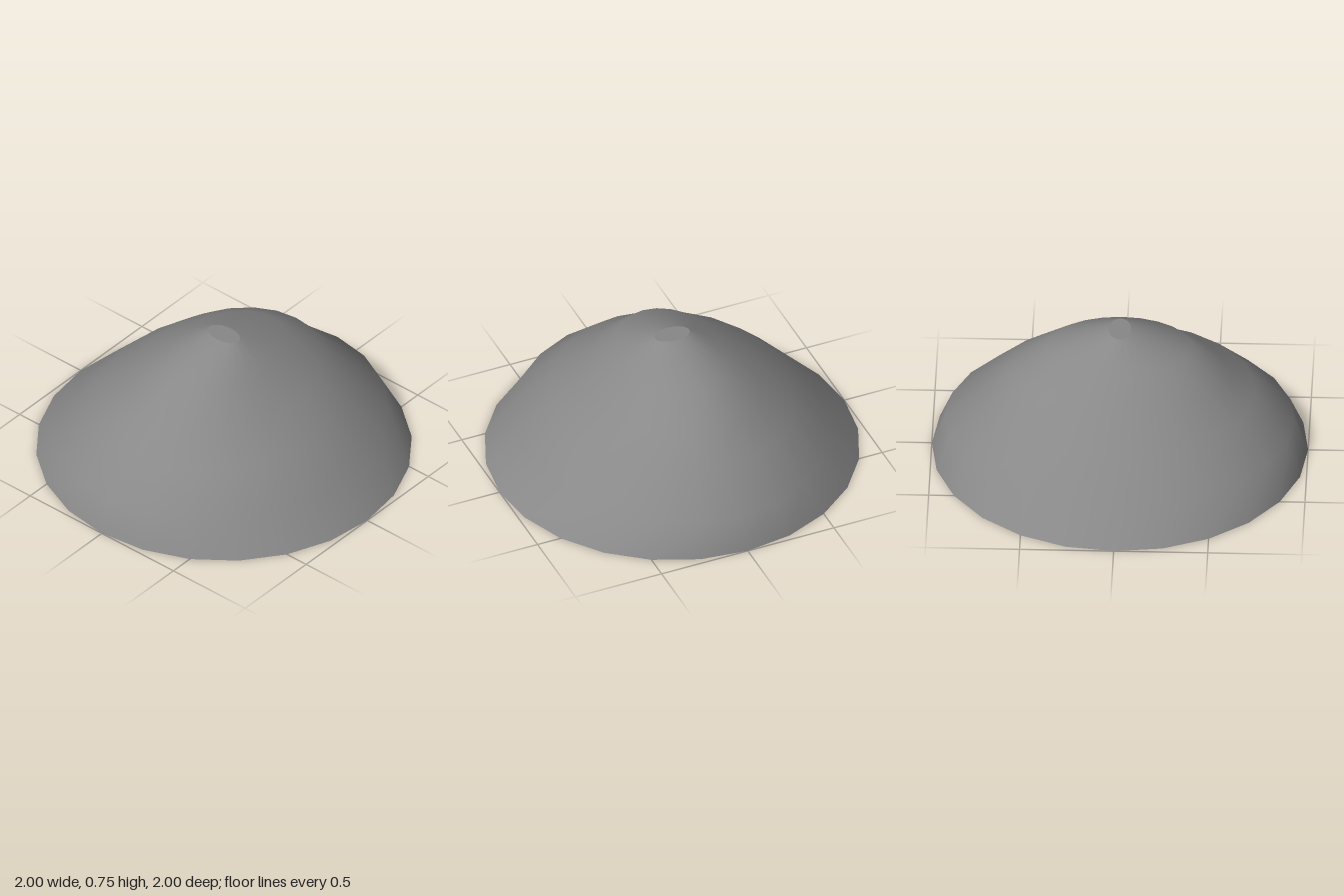
import * as THREE from 'three';

const SIDES = 24;

// Cross-sections from foot to summit: half-width x, half-depth z, height, tilt
const RINGS = [
  [1.0, 1.0, 0, 0],
  [0.93, 0.82, 0.18, 0],
  [0.72, 0.64, 0.365, 0],
  [0.58, 0.46, 0.49, 0.02],
  [0.385, 0.28, 0.64, 0],
  [0.06, 0.1, 0.75, 0],
];

// The tilt raises the right rear quarter of a ring and lowers the left front one
function ringPoint([rx, rz, y, tilt], j) {
  const a = (j / SIDES) * Math.PI * 2;
  const c = Math.cos(a), s = Math.sin(a);
  const lift = (c - s) / (Math.abs(c) + Math.abs(s));
  return [rx * c + tilt / 2, y + tilt * lift, rz * s];
}

function buildGeometry(positions, index) {
  const geometry = new THREE.BufferGeometry();
  geometry.setAttribute('position', new THREE.Float32BufferAttribute(positions, 3));
  geometry.setIndex(index);
  geometry.computeVertexNormals();
  return geometry;
}

// Smooth skin joining neighbouring rings
function slopeGeometry() {
  const positions = [], index = [];
  RINGS.forEach((ring, i) => {
    for (let j = 0; j < SIDES; j++) {
      positions.push(...ringPoint(ring, j));
      if (i === RINGS.length - 1) continue;
      const a = i * SIDES + j, b = i * SIDES + ((j + 1) % SIDES);
      index.push(a, a + SIDES, b, b, a + SIDES, b + SIDES);
    }
  });
  return buildGeometry(positions, index);
}

// Flat fan closing one ring, facing up or down
function capGeometry(ring, up) {
  const positions = [0, ring[2], 0], index = [];
  for (let j = 0; j < SIDES; j++) {
    positions.push(...ringPoint(ring, j));
    const a = 1 + j, b = 1 + ((j + 1) % SIDES);
    index.push(0, up ? b : a, up ? a : b);
  }
  return buildGeometry(positions, index);
}

export function createModel() {
  const model = new THREE.Group();
  model.name = 'hill';
  const material = new THREE.MeshStandardMaterial({ color: 0x888888 });
  const add = (name, geometry) => {
    const mesh = new THREE.Mesh(geometry, material);
    mesh.name = name;
    model.add(mesh);
  };
  add('slope', slopeGeometry());
  add('summit', capGeometry(RINGS[RINGS.length - 1], true));
  add('base', capGeometry(RINGS[0], false));
  return model;
}
